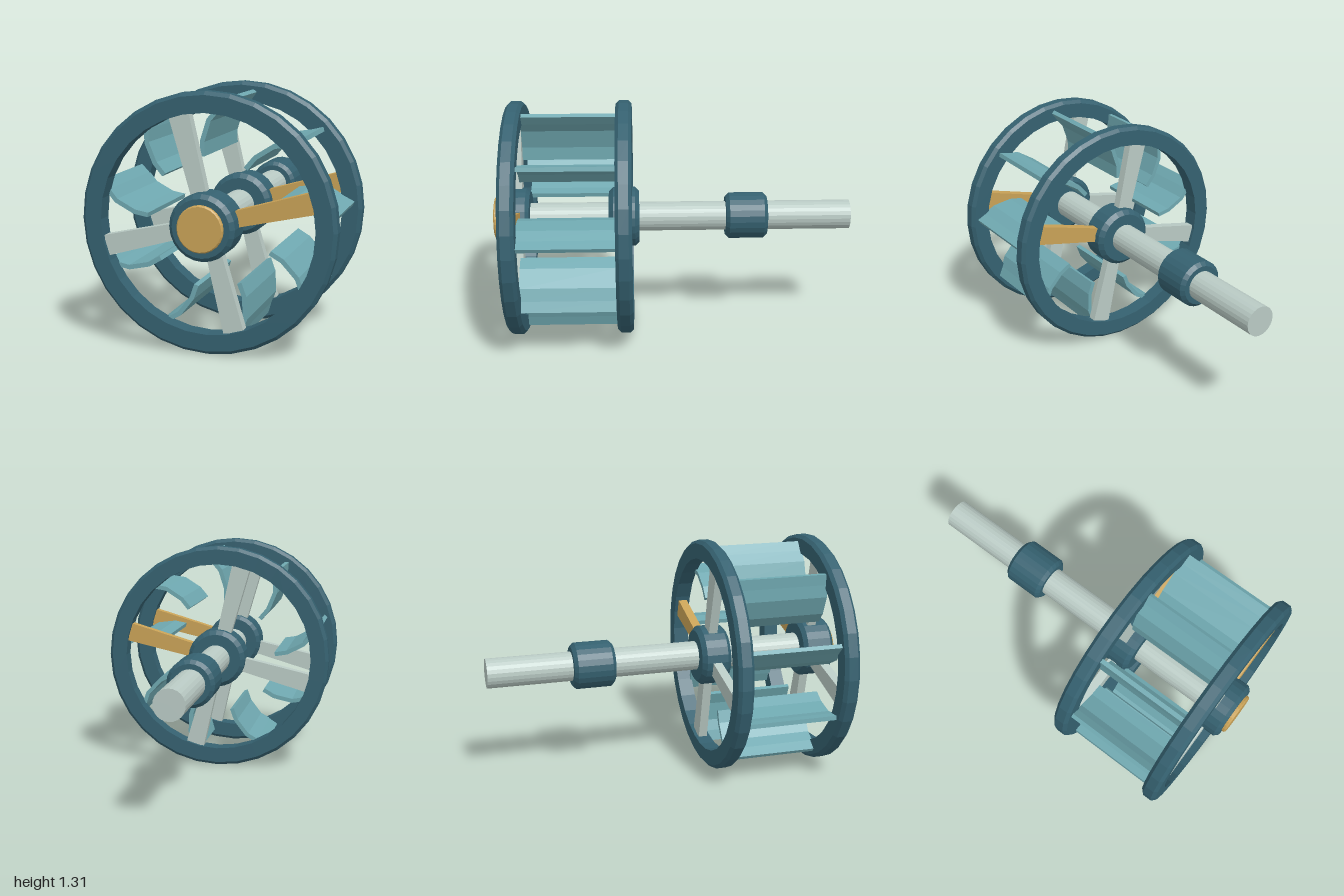
import * as THREE from 'three';

const AXIS_Y = 0.657;

export function createModel() {
  const mat = (name, color) => {
    const m = new THREE.MeshStandardMaterial({ color });
    m.name = name;
    return m;
  };
  const darkTeal = mat('dark teal', 0x356170);
  const lightTeal = mat('light teal', 0x6fa8b0);
  const pale = mat('pale grey', 0xb9cac4);
  const gold = mat('gold', 0xc9a257);

  const model = new THREE.Group();
  model.name = 'paddleWheel';
  const wheel = new THREE.Group();
  wheel.name = 'wheelAssembly';
  wheel.position.y = AXIS_Y;
  model.add(wheel);

  // Faceted mesh: every face gets its own normal
  const add = (name, geometry, material) => {
    const g = geometry.index ? geometry.toNonIndexed() : geometry;
    g.computeVertexNormals();
    const mesh = new THREE.Mesh(g, material);
    mesh.name = name;
    wheel.add(mesh);
    return mesh;
  };

  // Profile of [radius, z] points turned around the z axis
  const turned = (points, sides) =>
    new THREE.LatheGeometry(points.map(([r, z]) => new THREE.Vector2(r, z)), sides).rotateX(Math.PI / 2);

  // Solid drum with chamfered rims
  const drum = (r, z0, z1, c, sides = 24) =>
    turned([[0, z0], [r - c, z0], [r, z0 + c], [r, z1 - c], [r - c, z1], [0, z1]], sides);

  // Shaft, collar and front cap
  add('shaft', new THREE.CylinderGeometry(0.082, 0.082, 1.95, 24).rotateX(Math.PI / 2).translate(0, 0, -0.025), pale);
  add('shaftCollar', drum(0.13, -0.53, -0.296, 0.02), darkTeal);
  add('frontCap', turned([[0, 0.95], [0.118, 0.95], [0.118, 0.993], [0.112, 1], [0, 1]], 24), gold);

  // Hubs
  add('frontHub', drum(0.168, 0.8, 0.98, 0.021), darkTeal);
  add('backHub', drum(0.168, 0.19, 0.36, 0.024), darkTeal);

  // Tapered spoke lying along +x
  const spokeShape = new THREE.Shape([[0.12, -0.0395], [0.575, -0.054], [0.575, 0.054], [0.12, 0.0395]]
    .map(([x, y]) => new THREE.Vector2(x, y)));
  const spokeDepth = 0.05;

  for (const [side, z] of [['front', 0.869], ['back', 0.271]]) {
    // Rim with chamfered outer edges
    const h = 0.044, c = 0.018, R = 0.655, r = 0.551;
    add(side + 'Rim', turned([[r, z - h], [R - c, z - h], [R, z - h + c], [R, z + h - c],
      [R - c, z + h], [r, z + h], [r, z - h]], 32), darkTeal);

    // Four spokes, one marked in gold
    for (let i = 0; i < 4; i++) {
      const g = new THREE.ExtrudeGeometry(spokeShape, { depth: spokeDepth, bevelEnabled: false });
      const spoke = add(side + 'Spoke' + (i + 1), g.translate(0, 0, -spokeDepth / 2), i ? pale : gold);
      spoke.position.z = z;
      spoke.rotation.z = THREE.MathUtils.degToRad(14.3) + i * Math.PI / 2;
    }
  }

  // Curved blade section: centre line as [radius, degrees], thickened on both sides
  const line = [[0.332, 56.6], [0.405, 55.4], [0.508, 50.5], [0.56, 46], [0.612, 43]].map(([r, a]) => {
    const t = THREE.MathUtils.degToRad(a);
    return new THREE.Vector2(r * Math.cos(t), r * Math.sin(t));
  });
  const offset = (d) => line.map((p, i) => {
    const dir = line[Math.min(i + 1, line.length - 1)].clone().sub(line[Math.max(i - 1, 0)]).normalize();
    return new THREE.Vector2(p.x - dir.y * d, p.y + dir.x * d);
  });
  const bladeShape = new THREE.Shape([...offset(-0.012), ...offset(0.012).reverse()]);

  // Nine blades between the rims
  for (let i = 0; i < 9; i++) {
    const g = new THREE.ExtrudeGeometry(bladeShape, { depth: 0.53, bevelEnabled: false });
    const blade = add('blade' + (i + 1), g, lightTeal);
    blade.position.z = 0.305;
    blade.rotation.z = i * Math.PI * 2 / 9;
  }

  return model;
}
